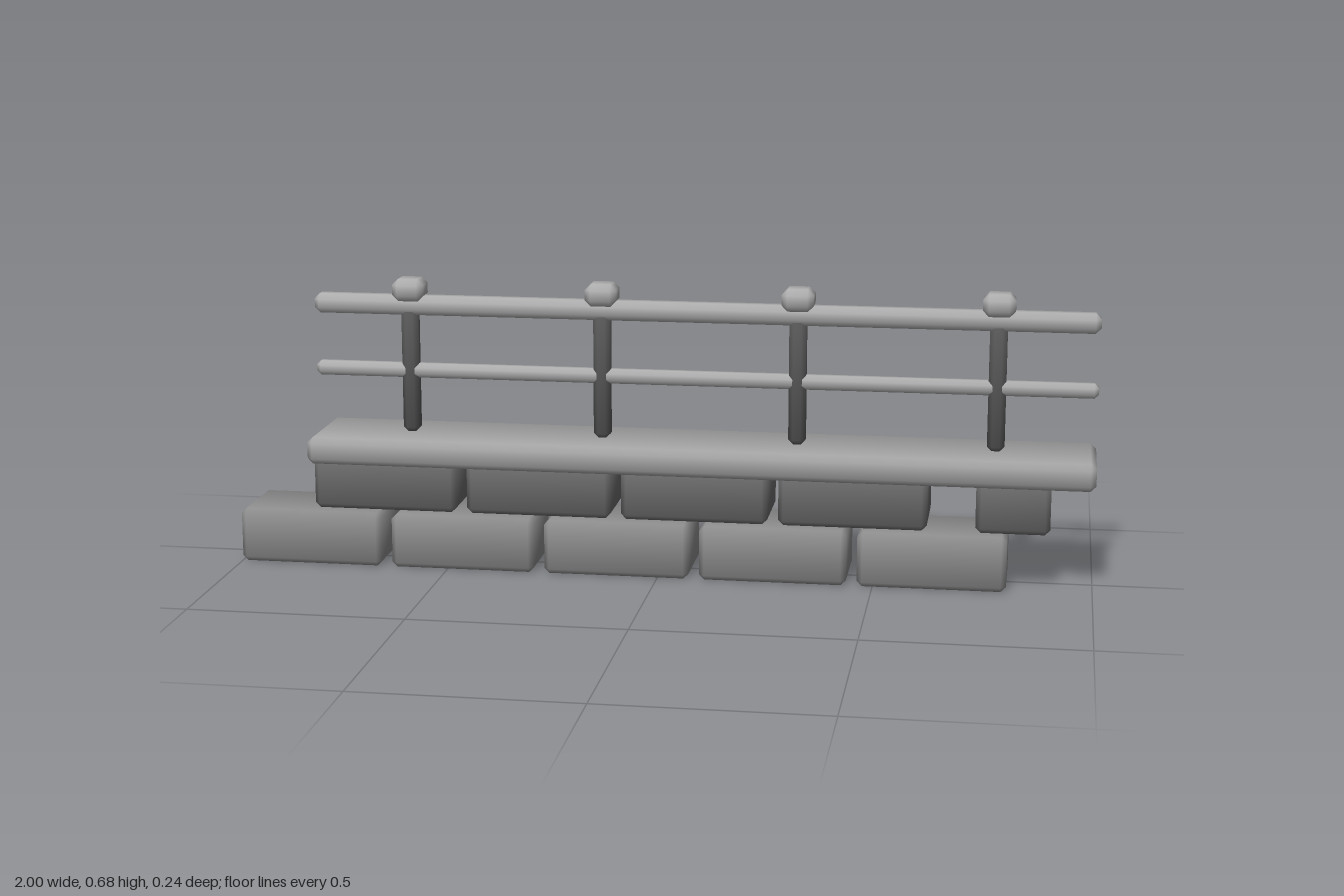
import * as THREE from 'three';
import { ConvexGeometry } from 'three/addons/geometries/ConvexGeometry.js';

const paint = (color) => new THREE.MeshStandardMaterial({ color });
const lowerStone = paint(0x8e8e8e);
const upperStone = paint(0x6c6c6c);
const slabStone = paint(0xa6a6a6);
const postMetal = paint(0x5a5a5a);
const railMetal = paint(0xb0b0b0);

// Box with a single 45 degree chamfer on every edge and softly rounded normals
function chamferBox(w, h, d, c) {
  const points = [];
  const normals = new Map();
  const key = (p) => p.toArray().map((v) => v.toFixed(4)).join();
  for (const x of [-1, 1]) for (const y of [-1, 1]) for (const z of [-1, 1]) {
    const corner = new THREE.Vector3(x, y, z);
    for (let axis = 0; axis < 3; axis++) {
      const p = new THREE.Vector3(w / 2 - c, h / 2 - c, d / 2 - c);
      p.setComponent(axis, p.getComponent(axis) + c).multiply(corner);
      // each corner leans towards its two neighbouring chamfers
      const n = new THREE.Vector3(0.39, 0.39, 0.39).setComponent(axis, 1);
      points.push(p);
      normals.set(key(p), n.multiply(corner).normalize());
    }
  }
  const geometry = new ConvexGeometry(points);
  const { position, normal } = geometry.attributes;
  const p = new THREE.Vector3();
  for (let i = 0; i < position.count; i++) {
    const n = normals.get(key(p.fromBufferAttribute(position, i)));
    normal.setXYZ(i, n.x, n.y, n.z);
  }
  return geometry;
}

export function createModel() {
  const model = new THREE.Group();
  model.name = 'wallWithRailing';

  // Adds a chamfered block from its x range, y range and depth
  const block = (name, material, x0, x1, y0, y1, depth, chamfer) => {
    const mesh = new THREE.Mesh(chamferBox(x1 - x0, y1 - y0, depth, chamfer), material);
    mesh.name = name;
    mesh.position.set((x0 + x1) / 2, (y0 + y1) / 2, 0);
    model.add(mesh);
  };

  // Two staggered courses of bricks, the upper one ending in a half brick
  const pitch = 0.366, brick = 0.341;
  for (let i = 0; i < 5; i++) {
    const x = -1 + i * pitch;
    block('lowerBrick', lowerStone, x, x + brick, 0, 0.128, 0.2, 0.012);
  }
  for (let i = 0; i < 4; i++) {
    const x = -0.817 + i * pitch;
    block('upperBrick', upperStone, x, x + brick, 0.138, 0.266, 0.2, 0.012);
  }
  block('halfBrick', upperStone, 0.732, 0.901, 0.138, 0.266, 0.2, 0.012);

  // Coping slab
  block('copingSlab', slabStone, -0.828, 1, 0.248, 0.311, 0.24, 0.013);

  // Railing posts with caps
  for (let i = 0; i < 4; i++) {
    const x = -0.6 + i * 0.457;
    block('post', postMetal, x - 0.02, x + 0.02, 0.311, 0.637, 0.038, 0.011);
    block('postCap', railMetal, x - 0.037, x + 0.037, 0.625, 0.677, 0.074, 0.014);
  }

  // Horizontal rails
  block('topRail', railMetal, -0.828, 1, 0.591, 0.637, 0.048, 0.013);
  block('middleRail', railMetal, -0.828, 1, 0.441, 0.475, 0.034, 0.01);

  return model;
}
